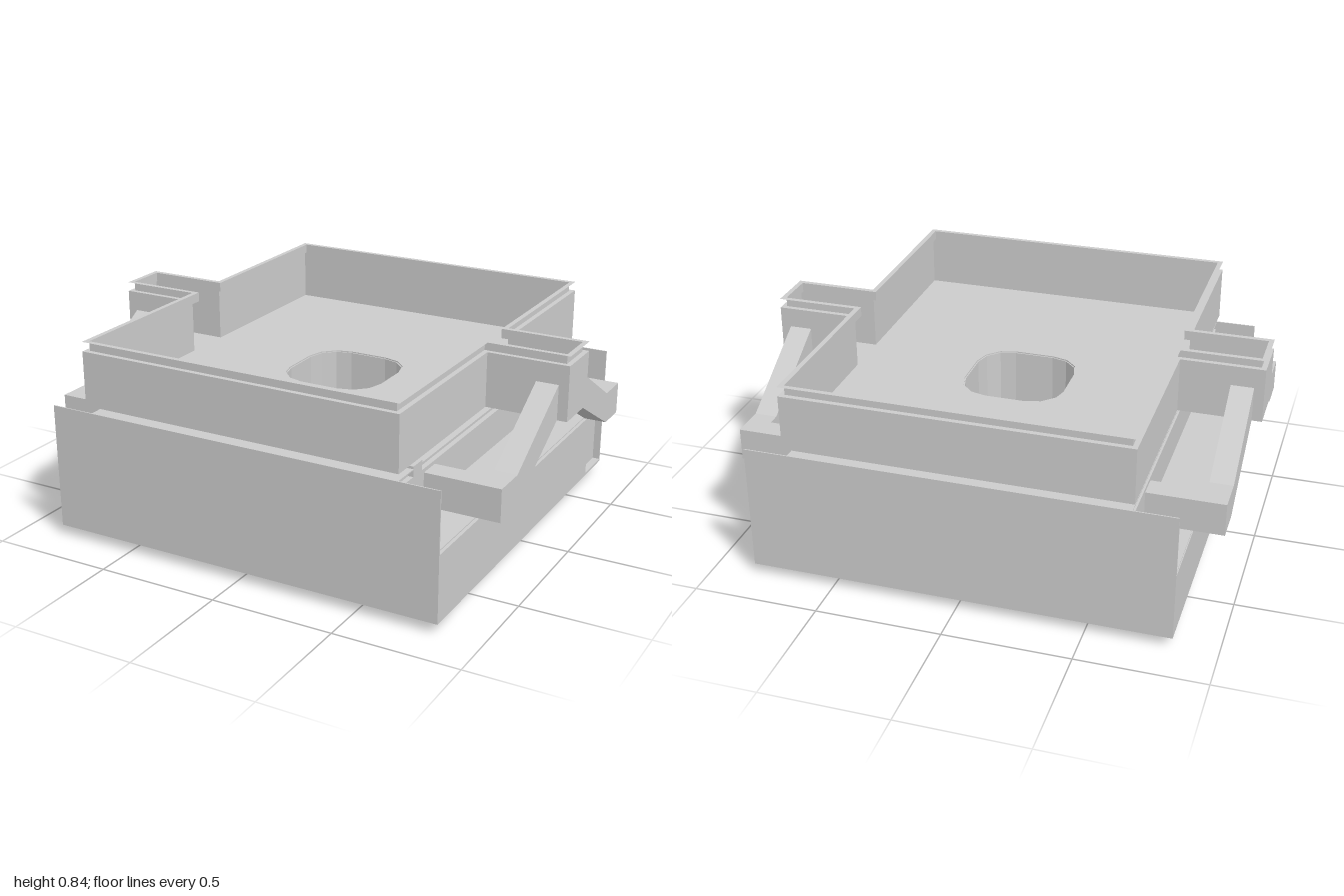
import * as THREE from 'three';

const grey = new THREE.MeshStandardMaterial({ color: 0xcccccc, flatShading: true, side: THREE.DoubleSide });

export function createModel() {
  const model = new THREE.Group();
  const add = (name, geometry, x = 0, y = 0, z = 0) => {
    const mesh = new THREE.Mesh(geometry, grey);
    mesh.name = name;
    mesh.position.set(x, y, z);
    model.add(mesh);
  };
  // Box given by its limits on each axis
  const box = (name, x0, x1, y0, y1, z0, z1) => add(name,
    new THREE.BoxGeometry(x1 - x0, y1 - y0, z1 - z0), (x0 + x1) / 2, (y0 + y1) / 2, (z0 + z1) / 2);
  const shapeOf = (pts) => new THREE.Shape(pts.map(([x, y]) => new THREE.Vector2(x, y)));
  // Plan shape extruded upwards from y0 to y1
  const slab = (name, shape, y0, y1) => add(name,
    new THREE.ExtrudeGeometry(shape, { depth: y1 - y0, bevelEnabled: false }).rotateX(-Math.PI / 2), 0, y0);
  const rect = (x, z) => [[-x, -z], [x, -z], [x, z], [-x, z]];
  // Central opening: a square with faceted round corners
  const opening = (r) => {
    const pts = [], c = 0.13;
    for (let q = 0; q < 4; q++) {
      const m = (q + 0.5) * Math.PI / 2;
      const cx = Math.sign(Math.cos(m)) * (0.21 - c), cz = Math.sign(Math.sin(m)) * (0.21 - c);
      for (let i = 0; i <= 3; i++) {
        const a = (q + i / 3) * Math.PI / 2;
        pts.push([cx + Math.cos(a) * (c - 0.21 + r), cz + Math.sin(a) * (c - 0.21 + r)]);
      }
    }
    return pts;
  };
  const pierced = (pts, hole) => {
    const s = shapeOf(pts);
    s.holes.push(shapeOf(hole));
    return s;
  };

  // Base plan: two opposite corners are stepped in on the sides
  const basePlan = [
    [-0.8, -0.83], [0.83, -0.83], [0.83, 0.65], [0.815, 0.65], [0.815, 0.67], [0.8, 0.67], [0.8, 0.83],
    [-0.83, 0.83], [-0.83, -0.65], [-0.815, -0.65], [-0.815, -0.67], [-0.8, -0.67],
  ];
  slab('baseBottom', pierced(rect(0.83, 0.83), rect(0.55, 0.55)), 0.04, 0.05);
  slab('baseFrame', pierced(basePlan, rect(0.55, 0.55)), 0.05, 0.16);
  slab('baseBody', shapeOf(basePlan), 0.16, 0.31);
  box('baseNeck', -0.79, 0.79, 0.31, 0.326, -0.825, 0.825);
  slab('baseDeck', shapeOf(basePlan), 0.326, 0.33);
  // Sloping sides of the recess underneath
  add('recessSlopes', new THREE.CylinderGeometry(0.42 * Math.SQRT2, 0.55 * Math.SQRT2, 0.12, 4, 1, true)
    .rotateY(Math.PI / 4), 0, 0.1);

  // Thin front and back walls, and the corner blocks behind the stepped corners
  box('frontWall', -0.83, 0.83, 0.04, 0.552, 0.825, 0.83);
  box('backWall', -0.83, 0.83, 0.04, 0.552, -0.83, -0.825);
  box('cornerBlock', 0.66, 0.8, 0.33, 0.37, -0.825, -0.67);
  box('cornerBlock', -0.8, -0.66, 0.33, 0.37, 0.67, 0.825);

  // Raised middle plate with a neck and a thin top flange
  for (const [name, x, z, y0, y1] of [
    ['middlePlate', 0.66, 0.825, 0.37, 0.515],
    ['middlePlateNeck', 0.64, 0.805, 0.515, 0.541],
    ['middlePlateFlange', 0.66, 0.825, 0.541, 0.545],
  ]) slab(name, pierced(rect(x, z), opening(0.21)), y0, y1);

  // Central collar under the tray opening
  slab('centralCollar', pierced(opening(0.21), opening(0.205)), 0.33, 0.58);

  // Four clips around the collar: a cross above the deck and one flush in the recess
  for (let i = 0; i < 4; i++) {
    const clip = new THREE.Group();
    clip.name = 'clip';
    for (const [w, h, d, y] of [
      [0.13, 0.02, 0.035, 0.36], [0.035, 0.02, 0.07, 0.36], [0.08, 0.03, 0.03, 0.34],
      [0.13, 0.01, 0.035, 0.161], [0.035, 0.01, 0.1, 0.161],
    ]) {
      const bar = new THREE.Mesh(new THREE.BoxGeometry(w, h, d), grey);
      bar.name = 'clipBar';
      bar.position.set(0.31, y, 0);
      clip.add(bar);
    }
    clip.rotation.y = i * Math.PI / 2;
    model.add(clip);
  }

  // Locating post passing through the base to a foot
  box('locatingPost', 0.585, 0.66, 0, 0.555, 0.625, 0.695);

  // Side brackets: level arms and sloping struts up to the tray wings
  const strutProfile = [[0.61, 0.37], [0.61, 0.5], [0.47, 0.5], [0.1, 0.72], [0.1, 0.58], [0.48, 0.37]];
  for (const sx of [1, -1]) {
    for (const sz of [1, -1]) {
      const profile = shapeOf(strutProfile.map(([z, y]) => [z * sz, y]));
      const strut = new THREE.ExtrudeGeometry(profile, { depth: 0.09, bevelEnabled: false }).rotateY(-Math.PI / 2);
      add('bracketStrut', strut, sx > 0 ? 0.96 : -0.87);
      add('bracketArm', new THREE.BoxGeometry(0.22, 0.13, 0.09), sx * 0.76, 0.435, sz * 0.565);
    }
  }

  // Tray outline: a rectangle with a narrow wing on each side, inset by d
  const trayPlan = (d) => {
    const a = 0.67 - d, b = 0.83 - d, w = 1 - d, n = 0.1 - d;
    return [[-a, -b], [a, -b], [a, -n], [w, -n], [w, n], [a, n], [a, b], [-a, b], [-a, n], [-w, n], [-w, -n], [-a, -n]];
  };
  // Thin tray wall: up, in over a ledge, up again, then out to a flange
  const pos = [], idx = [];
  const rows = [[0, 0.58], [0, 0.8], [0.02, 0.8], [0.02, 0.838], [0, 0.838]];
  rows.forEach(([d, y]) => trayPlan(d).forEach(([x, z]) => pos.push(x, y, z)));
  for (let r = 0; r < rows.length - 1; r++) {
    for (let i = 0; i < 12; i++) {
      const a = r * 12 + i, b = r * 12 + (i + 1) % 12;
      idx.push(a, a + 12, b, b, a + 12, b + 12);
    }
  }
  const wall = new THREE.BufferGeometry();
  wall.setAttribute('position', new THREE.Float32BufferAttribute(pos, 3));
  wall.setIndex(idx);
  wall.computeVertexNormals();
  add('trayWall', wall);

  // Tray floor with the central opening
  slab('trayFloor', pierced(trayPlan(0), opening(0.21)), 0.58, 0.585);

  return model;
}
